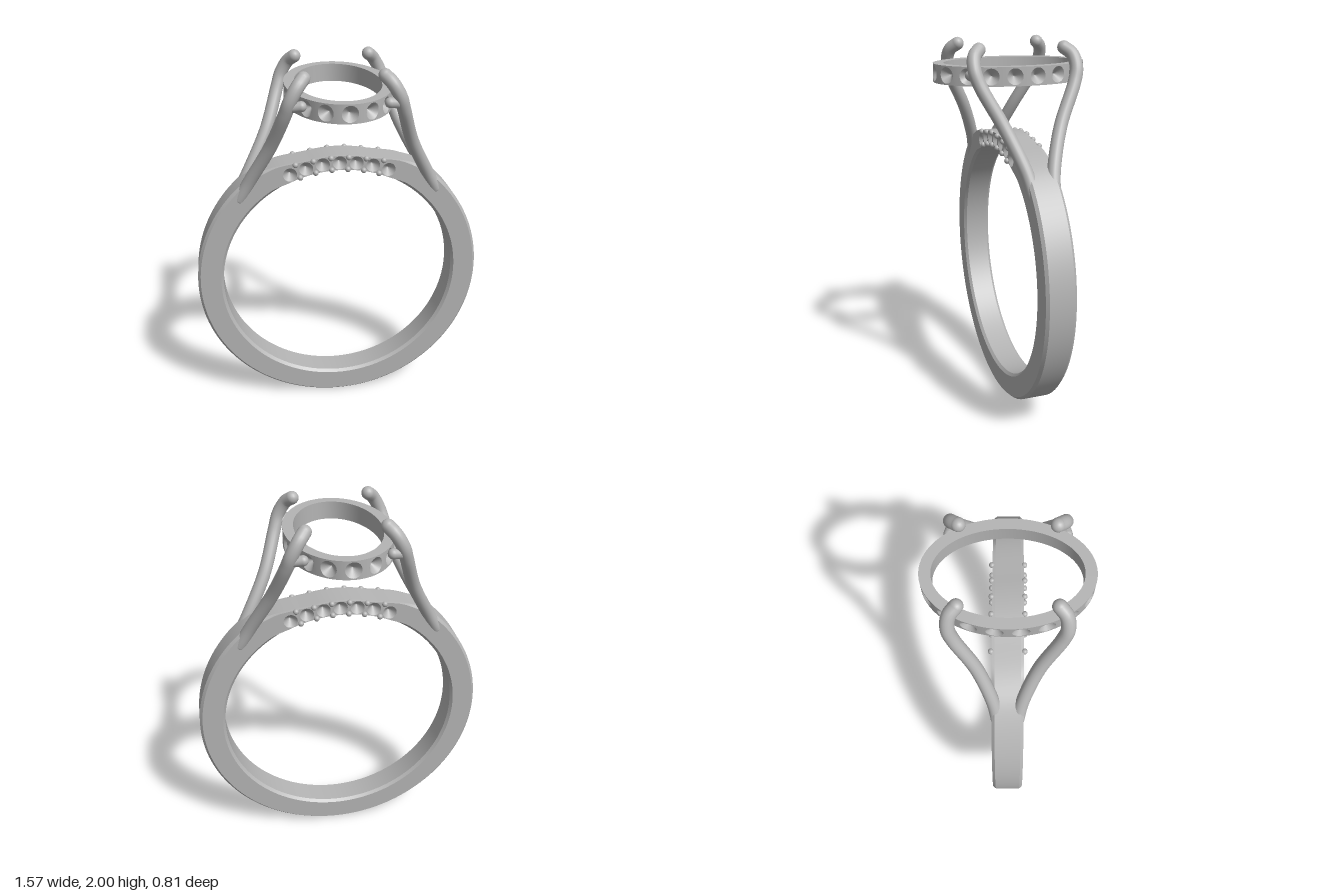
import * as THREE from 'three';
import { mergeGeometries } from 'three/addons/utils/BufferGeometryUtils.js';

const metal = new THREE.MeshStandardMaterial({ color: 0xb4b4b4, side: THREE.DoubleSide });
metal.name = 'greyMetal';

const CY = 0.785, HALF = 0.08, R_IN = 0.645, N = 144;
const smooth = THREE.MathUtils.smoothstep;

// Band profile by angle from the top: flattened crown, chamfers fading under the cups
const fold = a => Math.abs(Math.atan2(Math.sin(a), Math.cos(a)));
const rOut = a => 0.725 + 0.06 * smooth(fold(a), 0.2, 0.7);
const chamfer = a => 0.001 + 0.013 * smooth(fold(a), 0.42, 0.6);
const polar = (a, r, z = 0) => new THREE.Vector3(r * Math.sin(a), CY + r * Math.cos(a), z);

function mesh(name, geometry) {
  const m = new THREE.Mesh(geometry, metal);
  m.name = name;
  return m;
}

// Closed ribbon between two looping curves, each a function of t in 0..1
function strip(fa, fb, n = N) {
  const pos = [], index = [];
  for (let i = 0; i < n; i++) {
    pos.push(...fa(i / n).toArray(), ...fb(i / n).toArray());
    const a = 2 * i, b = 2 * ((i + 1) % n);
    index.push(a, b, a + 1, b, b + 1, a + 1);
  }
  const g = new THREE.BufferGeometry();
  g.setAttribute('position', new THREE.Float32BufferAttribute(pos, 3));
  g.setIndex(index);
  g.computeVertexNormals();
  return g;
}

// Conical seat whose rim lies at z = 0 and whose point is at -depth
function cup(r, depth) {
  return new THREE.ConeGeometry(r, depth, 24, 1, true)
    .rotateX(-Math.PI / 2).translate(0, 0, -depth / 2);
}

function circleHole(x, y, r) {
  const p = new THREE.Path();
  p.absarc(x, y, r, 0, Math.PI * 2, true);
  return p;
}

function buildBand() {
  const band = new THREE.Group();
  band.name = 'band';
  const loop = (radius, z) => t => {
    const a = t * Math.PI * 2;
    return polar(a, radius(a), z);
  };
  const inner = () => R_IN, innerEdge = a => R_IN + chamfer(a), outerEdge = a => rOut(a) - chamfer(a);
  const w = HALF - 0.015;
  band.add(mesh('bandInside', strip(loop(inner, -w), loop(inner, w))));
  band.add(mesh('bandOutside', strip(loop(rOut, w), loop(rOut, -w))));

  // Flat side face pierced by the row of seats
  const outline = radius => Array.from({ length: N }, (_, i) => {
    const p = loop(radius, 0)(i / N);
    return new THREE.Vector2(p.x, p.y);
  });
  const face = new THREE.Shape(outline(outerEdge));
  face.holes.push(new THREE.Path(outline(innerEdge)));
  const seats = [], step = 0.131;
  for (let i = -3; i <= 3; i++) {
    const c = polar(i * step, 0.686);
    face.holes.push(circleHole(c.x, c.y, 0.037));
    seats.push(cup(0.037, 0.045).translate(c.x, c.y, 0));
  }
  const faceGeo = new THREE.ShapeGeometry(face, 12);
  const seatGeo = mergeGeometries(seats);

  for (const s of [1, -1]) {
    band.add(mesh('innerChamfer', strip(loop(inner, s * w), loop(innerEdge, s * HALF))));
    band.add(mesh('outerChamfer', strip(loop(outerEdge, s * HALF), loop(rOut, s * w))));
    const turn = s > 0 ? 0 : Math.PI;
    for (const [name, g] of [['bandSide', faceGeo], ['bandSeats', seatGeo]]) {
      band.add(mesh(name, g.clone().rotateY(turn).translate(0, 0, s * HALF)));
    }
    // Beads between neighbouring seats, along both edges
    const beads = [];
    for (let i = -2.5; i <= 2.5; i++) {
      const a = i * step;
      for (const r of [R_IN + 0.006, rOut(a) - 0.008]) {
        const p = polar(a, r, s * 0.083);
        beads.push(new THREE.SphereGeometry(0.015, 14, 10).translate(p.x, p.y, p.z));
      }
    }
    band.add(mesh('beads', mergeGeometries(beads)));
  }
  return band;
}

function buildSetting() {
  const setting = new THREE.Group();
  setting.name = 'ovalSetting';
  const A = 0.275, B = 0.405, Y0 = 1.79, Y1 = 1.885, CELLS = 18;
  const oval = new THREE.EllipseCurve(0, 0, A, B, Math.PI / 2, Math.PI * 2.5);
  oval.arcLengthDivisions = 600;
  const cell = oval.getLength() / CELLS, h = (Y1 - Y0) / 2;

  // Wrap flat geometry (x along the rim, z outward) around the oval
  function wrap(g, offset, wallNormals) {
    const p = g.attributes.position, nrm = g.attributes.normal;
    for (let i = 0; i < p.count; i++) {
      const u = (p.getX(i) + offset) / (cell * CELLS);
      const q = oval.getPointAt(u - Math.floor(u));
      const n = new THREE.Vector2(q.x / (A * A), q.y / (B * B)).normalize();
      const d = p.getZ(i);
      p.setXYZ(i, q.x + n.x * d, p.getY(i) + (Y0 + Y1) / 2, q.y + n.y * d);
      if (wallNormals) nrm.setXYZ(i, -n.x, 0, -n.y);
    }
    if (!wallNormals) g.computeVertexNormals();
    return g;
  }

  // One wall cell with a round opening
  const pts = [];
  for (let i = 0; i <= 8; i++) pts.push(new THREE.Vector2((i / 8 - 0.5) * cell, -h));
  for (let i = 8; i >= 0; i--) pts.push(new THREE.Vector2((i / 8 - 0.5) * cell, h));
  const tile = new THREE.Shape(pts);
  tile.holes.push(circleHole(0, 0, 0.041));
  const walls = [], seats = [];
  for (let i = 0; i < CELLS; i++) {
    walls.push(wrap(new THREE.ShapeGeometry(tile, 12), i * cell, true));
    seats.push(wrap(cup(0.041, 0.042), i * cell, false));
  }
  setting.add(mesh('settingWall', mergeGeometries(walls)));
  setting.add(mesh('settingSeats', mergeGeometries(seats)));

  const rim = (a, b, y) => t => {
    const q = oval.getPointAt(t);
    return new THREE.Vector3(q.x * a / A, y, q.y * b / B);
  };
  setting.add(mesh('settingInside', strip(rim(0.22, 0.35, Y0), rim(0.22, 0.35, Y1))));
  for (const y of [Y0, Y1]) {
    setting.add(mesh('settingRim', strip(rim(A, B, y), rim(0.22, 0.35, y))));
  }
  return setting;
}

function buildProng(sx, sz) {
  const prong = new THREE.Group();
  prong.name = 'prong';
  const v = (x, y, z) => new THREE.Vector3(sx * x, y, sz * z);
  // Rounded rod along a path
  const rod = (name, points, r, seg) => {
    const path = new THREE.CatmullRomCurve3(points);
    const parts = [new THREE.TubeGeometry(path, seg, r, 18)];
    for (const p of [points[0], points[points.length - 1]]) {
      parts.push(new THREE.SphereGeometry(r, 18, 12).translate(p.x, p.y, p.z));
    }
    prong.add(mesh(name, mergeGeometries(parts)));
  };
  rod('claw', [v(0.53, 1.29, 0.05), v(0.47, 1.4, 0.072), v(0.365, 1.6, 0.147), v(0.292, 1.8, 0.247),
    v(0.268, 1.87, 0.267), v(0.23, 1.935, 0.258), v(0.198, 1.966, 0.225)], 0.034, 56);
  rod('clawBridge', [v(0.28, 1.835, 0.258), v(0.215, 1.845, 0.275)], 0.026, 4);
  return prong;
}

export function createModel() {
  const ring = new THREE.Group();
  ring.name = 'ring';
  ring.add(buildBand(), buildSetting());
  for (const sx of [1, -1]) for (const sz of [1, -1]) ring.add(buildProng(sx, sz));
  return ring;
}
